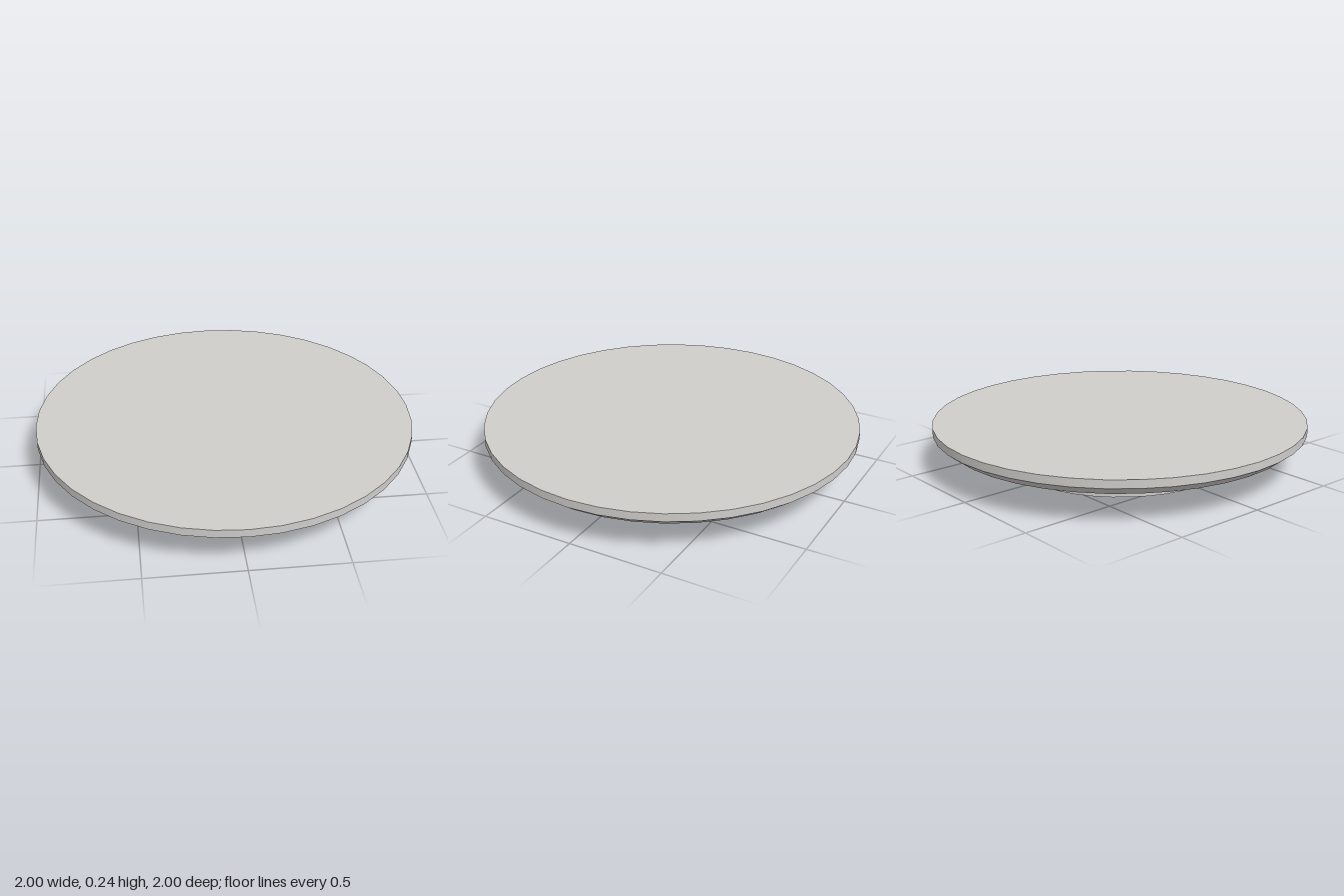
import * as THREE from 'three';
import { mergeGeometries } from 'three/addons/utils/BufferGeometryUtils.js';

const SIDES = 40;

// Turned part: smooth around the axis, with a hard edge at every profile point.
function turned(name, profile, material) {
  const points = profile.map(([r, y]) => new THREE.Vector2(r, y));
  const bands = [];
  for (let i = 0; i < points.length - 1; i++) {
    bands.push(new THREE.LatheGeometry([points[i], points[i + 1]], SIDES));
  }
  const mesh = new THREE.Mesh(mergeGeometries(bands), material);
  mesh.name = name;
  return mesh;
}

export function createModel() {
  const group = new THREE.Group();
  group.name = 'dish';
  const grey = new THREE.MeshStandardMaterial({ color: 0xd0cecb });
  grey.name = 'pale warm grey';

  // Short foot with a closed underside
  group.add(turned('foot', [[0, 0], [0.587, 0], [0.587, 0.033]], grey));

  // Flared body rising into the recess under the rim
  group.add(turned('flaredBody', [[0.587, 0.033], [0.757, 0.228]], grey));

  // Recess floor and wall, flat underside, chamfer, edge and flat top
  group.add(turned('rim', [
    [0.757, 0.228], [0.776, 0.228], [0.776, 0.153], [0.94, 0.153],
    [1, 0.2], [1, 0.243], [0, 0.243],
  ], grey));

  return group;
}
